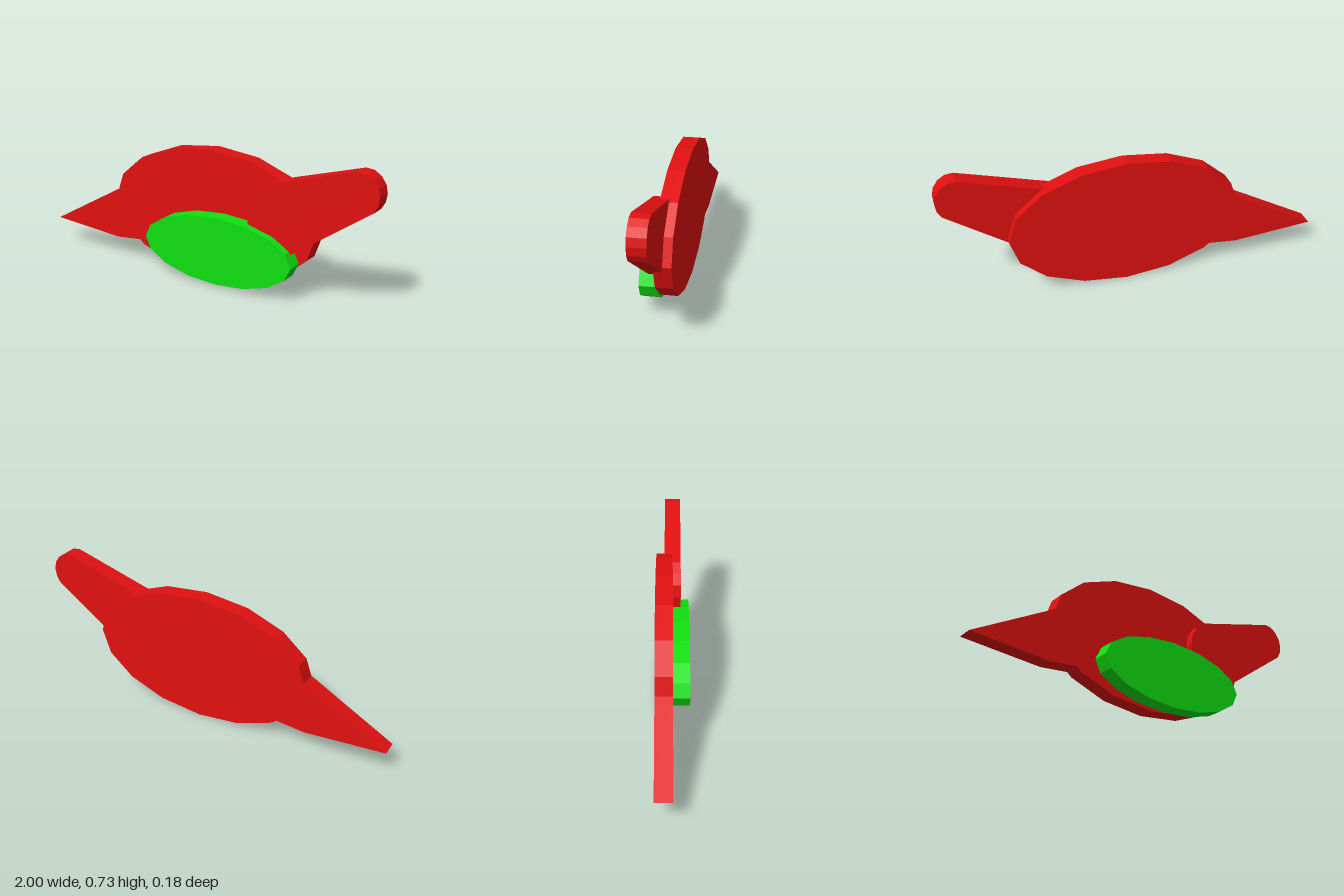
import * as THREE from 'three';

const T = 0.088; // plate thickness

// Flat plate cut from an outline, its back face at z
function plate(name, points, z, material) {
  const shape = new THREE.Shape(points.map(([x, y]) => new THREE.Vector2(x, y)));
  const geometry = new THREE.ExtrudeGeometry(shape, { depth: T, bevelEnabled: false });
  const mesh = new THREE.Mesh(geometry, material);
  mesh.name = name;
  mesh.position.z = z;
  return mesh;
}

// Sixteen-sided ellipse outline
function ellipse(cx, cy, rx, ry) {
  return Array.from({ length: 16 }, (_, i) => {
    const a = (i * Math.PI) / 8;
    return [cx + rx * Math.cos(a), cy + ry * Math.sin(a)];
  });
}

export function createModel() {
  const red = new THREE.MeshStandardMaterial({ color: 0xe01010 });
  red.name = 'red';
  const green = new THREE.MeshStandardMaterial({ color: 0x10e010 });
  green.name = 'green';

  const model = new THREE.Group();
  model.name = 'bird';

  // Oval body, with a pointed tail meeting its edge
  model.add(plate('body', ellipse(0.05, 0.351, 0.614, 0.351), -T, red));
  model.add(plate('tail', [
    [-1, 0.145], [-0.565, 0.11], [-0.41, 0.125],
    [-0.517, 0.217], [-0.564, 0.351], [-0.549, 0.395],
  ], -T, red));

  // Tapered neck and rounded head, set halfway into the body
  model.add(plate('neckAndHead', [
    [0.97, 0.54], [0.99, 0.575], [0.997, 0.618], [0.988, 0.66], [0.963, 0.697],
    [0.927, 0.721], [0.885, 0.726], [0.465, 0.606], [0.4, 0.588], [0.345, 0.55],
    [0.308, 0.496], [0.295, 0.43], [0.305, 0.36], [0.34, 0.29], [0.4, 0.235],
    [0.47, 0.215], [0.53, 0.235],
  ], -T / 2, red));

  // Oval wing on the front
  model.add(plate('wing', ellipse(0.136, 0.194, 0.44, 0.182), 0, green));

  return model;
}
